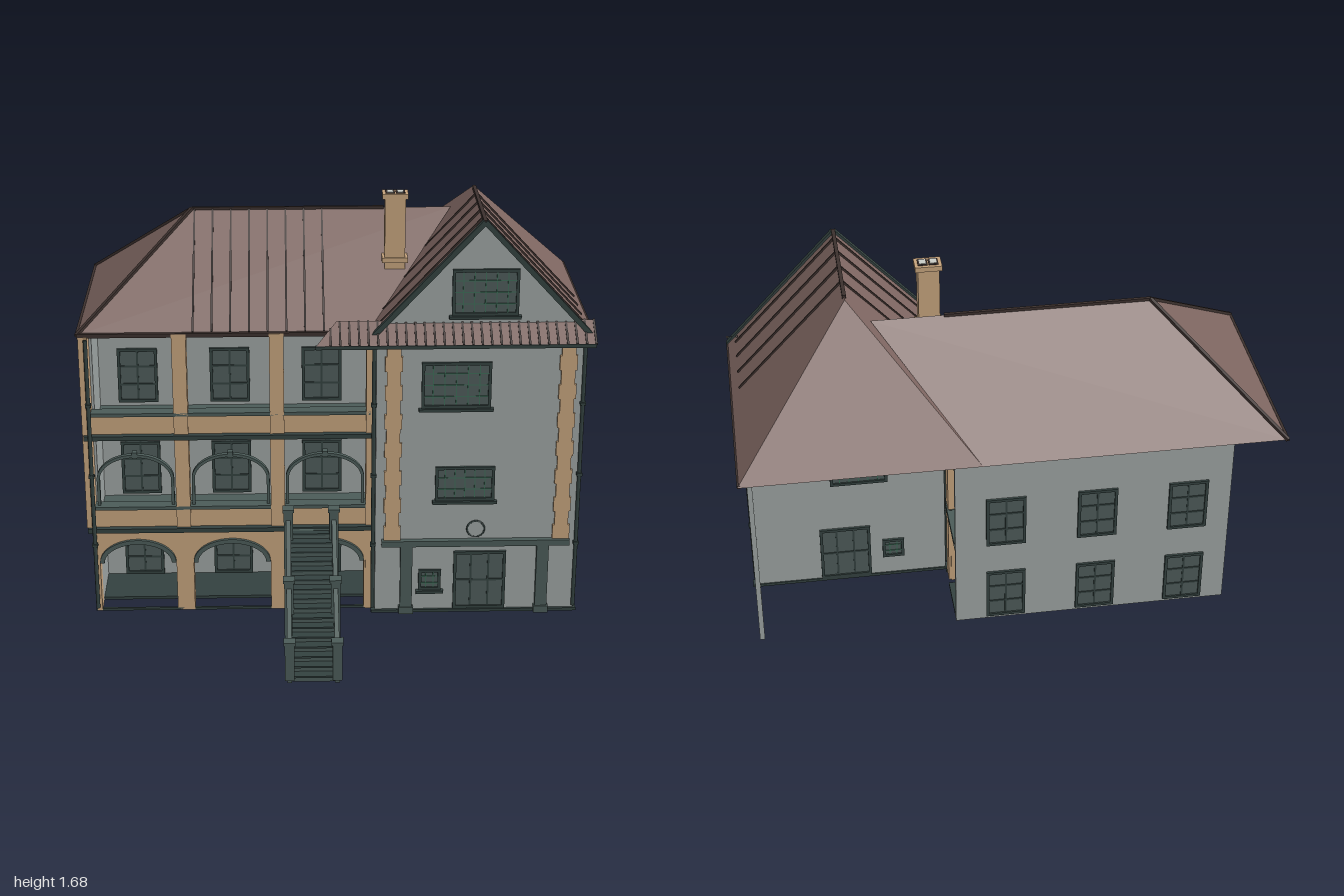
import * as THREE from 'three';

const mat = (name, color, side = THREE.FrontSide) => {
  const m = new THREE.MeshStandardMaterial({ color, side });
  m.name = name;
  return m;
};

export function createModel() {
  const root = new THREE.Group();
  const wall = mat('grey plaster', 0x9ca3a1);
  const roof = mat('brown roof', 0x7d6560, THREE.DoubleSide);
  const tan = mat('tan masonry', 0xc4a27c);
  const green = mat('grey green wood', 0x4b5b58);
  const dark = mat('dark green frame', 0x33413f);
  const seam = mat('dark brown seam', 0x3b302d);
  const glass = mat('window pane', 0x4d5b59);
  const bars = mat('green glazing bar', 0x3d6b57);
  const pale = mat('pale flue', 0xc9ccc6);

  const add = (name, geo, m, parent = root) => {
    const mesh = new THREE.Mesh(geo, m);
    mesh.name = name;
    parent.add(mesh);
    return mesh;
  };
  const group = name => {
    const g = new THREE.Group();
    g.name = name;
    root.add(g);
    return g;
  };
  // Box given by its two extreme corners
  const box = (name, x0, x1, y0, y1, z0, z1, m, parent) => {
    const mesh = add(name, new THREE.BoxGeometry(x1 - x0, y1 - y0, z1 - z0), m, parent);
    mesh.position.set((x0 + x1) / 2, (y0 + y1) / 2, (z0 + z1) / 2);
    return mesh;
  };
  // Square bar between two points
  const bar = (name, a, b, w, m, parent) => {
    const p = new THREE.Vector3(...a), q = new THREE.Vector3(...b);
    const mesh = add(name, new THREE.BoxGeometry(w, w, p.distanceTo(q)), m, parent);
    mesh.position.copy(p).add(q).multiplyScalar(0.5);
    mesh.lookAt(q);
    return mesh;
  };
  // Flat convex polygon
  const poly = (name, pts, m, parent) => {
    const v = [];
    for (let i = 1; i < pts.length - 1; i++) v.push(...pts[0], ...pts[i], ...pts[i + 1]);
    const g = new THREE.BufferGeometry();
    g.setAttribute('position', new THREE.Float32BufferAttribute(v, 3));
    g.computeVertexNormals();
    return add(name, g, m, parent);
  };
  const extrude = (name, shape, depth, z, m, parent) => {
    const mesh = add(name, new THREE.ExtrudeGeometry(shape, { depth, bevelEnabled: false, curveSegments: 16 }), m, parent);
    mesh.position.z = z;
    return mesh;
  };
  // Window set through a wall, visible from both sides
  const windowUnit = (name, x0, x1, y0, y1, z, cols, rows, barMat, sill) => {
    const g = group(name), f = 0.012;
    box('pane', x0, x1, y0, y1, z - 0.013, z + 0.013, glass, g);
    for (const x of [x0, x1 - f]) box('frameSide', x, x + f, y0, y1, z - 0.02, z + 0.02, dark, g);
    for (const y of [y0, y1 - f]) box('frameEdge', x0, x1, y, y + f, z - 0.02, z + 0.02, dark, g);
    const t = barMat === bars ? 0.002 : 0.004;
    for (let i = 1; i < cols; i++) {
      const x = x0 + (x1 - x0) * i / cols;
      box('glazingBar', x - t, x + t, y0, y1, z - 0.016, z + 0.016, barMat, g);
    }
    for (let i = 1; i < rows; i++) {
      const y = y0 + (y1 - y0) * i / rows;
      box('glazingBar', x0, x1, y - t, y + t, z - 0.016, z + 0.016, barMat, g);
    }
    if (sill) box('sill', x0 - 0.01, x1 + 0.01, y0 - 0.012, y0, z, z + 0.03, dark, g);
  };

  // Walls
  box('backWall', -0.965, 0.155, 0, 1.18, -0.2, -0.18, wall);
  box('loggiaEndWall', -0.965, -0.945, 0, 1.18, -0.18, 0.06, wall);
  box('wingFront', 0.155, 0.96, 0, 1.18, 0.14, 0.16, wall);
  box('wingSideWall', 0.94, 0.96, 0, 1.18, -0.2, 0.14, wall);
  const gable = new THREE.Shape();
  gable.moveTo(0.14, 1.18); gable.lineTo(0.97, 1.18); gable.lineTo(0.555, 1.635);
  extrude('gableWall', gable, 0.02, 0.14, wall);

  // Windows and doors
  for (const x of [-0.79, -0.42, -0.05])
    for (const y of [0.015, 0.385, 0.79])
      windowUnit('loggiaWindow', x - 0.08, x + 0.08, y, y + 0.23, -0.19, 2, 3, dark);
  windowUnit('upperWindow', 0.33, 0.6, 0.89, 1.08, 0.15, 6, 4, bars, true);
  windowUnit('middleWindow', 0.39, 0.625, 0.495, 0.64, 0.15, 6, 3, bars, true);
  windowUnit('gableWindow', 0.44, 0.695, 1.27, 1.455, 0.15, 6, 4, bars, true);
  windowUnit('smallWindow', 0.33, 0.42, 0.1, 0.19, 0.15, 3, 3, bars, true);
  windowUnit('entranceDoor', 0.47, 0.68, 0.015, 0.27, 0.15, 3, 2, dark);

  // Wing front trim
  for (const x of [0.222, 0.895])
    for (let i = 0; i < 14; i++) {
      const w = i % 2 ? 0.027 : 0.034;
      box('cornerBlock', x - w, x + w, 0.325 + i * 0.06, 0.385 + i * 0.06, 0.155, 0.172, tan);
    }
  box('storeyBand', 0.18, 0.93, 0.3, 0.325, 0.155, 0.185, green);
  for (const x of [0.28, 0.825]) {
    box('portalPost', x - 0.024, x + 0.024, 0.01, 0.3, 0.155, 0.18, green);
    box('portalPostFoot', x - 0.029, x + 0.029, 0, 0.03, 0.155, 0.185, green);
  }
  box('plinth', 0.14, 0.97, 0, 0.012, 0.135, 0.17, dark);
  const disc = add('roundPlaque', new THREE.CylinderGeometry(0.034, 0.034, 0.01, 24), wall);
  disc.rotation.x = Math.PI / 2;
  disc.position.set(0.555, 0.37, 0.163);
  add('plaqueRim', new THREE.TorusGeometry(0.034, 0.004, 6, 24), dark).position.set(0.555, 0.37, 0.166);

  // Drainpipes
  for (const [x, z] of [[-0.96, 0.145], [0.146, 0.165], [0.957, 0.168]]) {
    const pipe = add('drainpipe', new THREE.CylinderGeometry(0.008, 0.008, 1.15, 8), dark);
    pipe.position.set(x, 0.6, z);
    for (const y of [0.3, 0.6, 0.9]) box('pipeClip', x - 0.011, x + 0.011, y, y + 0.012, z - 0.011, z + 0.011, dark);
  }

  // Loggia floors, parapets and columns
  box('groundFloor', -0.965, 0.155, 0, 0.012, -0.18, 0.03, dark);
  box('groundEdge', -0.97, 0.155, 0, 0.01, 0.115, 0.125, dark);
  for (const y of [0.365, 0.765]) {
    box('loggiaFloor', -0.96, 0.155, y - 0.012, y + 0.008, -0.18, 0.12, green);
    box('floorBand', -0.985, 0.15, y - 0.009, y + 0.009, 0.06, 0.145, dark);
    box('parapet', -0.96, 0.13, y + 0.009, y + 0.085, 0.085, 0.12, tan);
    box('parapetRail', -0.96, 0.135, y + 0.085, y + 0.099, 0.075, 0.13, green);
  }
  for (const x of [-0.605, -0.23])
    for (const [y0, y1] of [[0.374, 0.757], [0.774, 1.19]])
      box('column', x - 0.028, x + 0.028, y0, y1, 0.065, 0.13, tan);
  box('cornerColumn', -0.99, -0.955, 0.374, 1.18, 0.06, 0.13, tan);
  box('innerColumn', 0.118, 0.15, 0, 1.19, 0.065, 0.13, tan);

  // Ground arcade and arch trims
  const arches = [[-0.945, -0.64], [-0.57, -0.262], [-0.198, 0.112]];
  const arcade = new THREE.Shape();
  arcade.moveTo(-0.965, 0.357);
  arcade.lineTo(-0.965, 0);
  for (const [a, b] of arches) {
    arcade.lineTo(a, 0);
    arcade.lineTo(a, 0.22);
    arcade.absellipse((a + b) / 2, 0.22, (b - a) / 2, 0.095, Math.PI, 0, true);
    arcade.lineTo(b, 0);
  }
  arcade.lineTo(0.14, 0);
  arcade.lineTo(0.14, 0.357);
  extrude('groundArcade', arcade, 0.065, 0.06, tan);
  const archTrim = (name, a, b, y, h, t, z, d) => {
    const c = (a + b) / 2, r = (b - a) / 2, s = new THREE.Shape();
    s.absellipse(c, y, r, h, Math.PI, 0, true);
    s.lineTo(b - t, y);
    s.absellipse(c, y, r - t, h - t, 0, Math.PI, false);
    extrude(name, s, d, z, green);
  };
  for (const [a, b] of arches) {
    archTrim('groundArchTrim', a, b, 0.22, 0.1, 0.018, 0.06, 0.078);
    archTrim('upperArch', a, b, 0.575, 0.105, 0.012, 0.09, 0.02);
    for (const x of [a, b - 0.012]) box('archPost', x, x + 0.012, 0.374, 0.575, 0.09, 0.11, green);
    const c = (a + b) / 2;
    box('archKeystone', c - 0.01, c + 0.01, 0.665, 0.69, 0.088, 0.114, green);
  }

  // Outer staircase
  const stair = group('staircase'), n = 16;
  for (let i = 0; i < n; i++) {
    const z = 0.71 - i * 0.035;
    box('step', -0.18, -0.01, 0, 0.365 * (i + 1) / n, z - 0.035, z, green, stair);
    box('stepNosing', -0.18, -0.01, 0.365 * (i + 1) / n - 0.005, 0.365 * (i + 1) / n + 0.002, z - 0.035, z + 0.005, dark, stair);
  }
  box('landing', -0.18, -0.01, 0.35, 0.368, 0.1, 0.16, green, stair);
  const side = new THREE.Shape();
  side.moveTo(0.72, 0); side.lineTo(0.72, 0.13); side.lineTo(0.16, 0.455); side.lineTo(0.16, 0);
  for (const z of [0.64, 0.545, 0.375, 0.275]) {
    const y = 0.13 + (0.72 - z) * 0.58 - 0.045, hole = new THREE.Path();
    hole.moveTo(z + 0.014, y - 0.018); hole.lineTo(z - 0.014, y - 0.002);
    hole.lineTo(z - 0.014, y + 0.022); hole.lineTo(z + 0.014, y + 0.006);
    side.holes.push(hole);
  }
  for (const x of [-0.19, -0.01]) {
    const s = extrude('stairSide', side, 0.018, 0, green, stair);
    s.rotation.y = -Math.PI / 2;
    s.position.x = x + 0.009;
    for (const [z, y0, y1] of [[0.72, 0.02, 0.17], [0.457, 0.02, 0.295], [0.182, 0.02, 0.465]]) {
      box('newelPost', x - 0.018, x + 0.018, y0, y1, z - 0.018, z + 0.018, green, stair);
      box('newelCap', x - 0.023, x + 0.023, y1, y1 + 0.012, z - 0.022, z + 0.022, green, stair);
    }
  }

  // Hipped main roof
  const r = group('roof'), E = 1.185, H = 1.56, P = 1.65;
  const A = [-0.995, E, 0.12], B = [-0.995, E, -0.74], C = [-0.56, H, -0.31], D = [0.467, H, -0.31];
  poly('mainFrontSlope', [A, [0.12, E, 0.12], D, C], roof, r);
  poly('mainBackSlope', [B, C, D, [0.12, E, -0.74]], roof, r);
  poly('mainHip', [B, A, C], roof, r);
  // Cross wing roof
  const K = [0.555, P, 0.2], L = [0.555, P, -0.3];
  poly('wingLeftSlope', [[0.12, E, 0.2], K, L, [0.12, E, -0.74]], roof, r);
  poly('wingRightSlope', [[0.99, E, 0.2], [0.99, E, -0.74], L, K], roof, r);
  poly('wingBackHip', [[0.99, E, -0.74], [0.12, E, -0.74], L], roof, r);
  // Ridge caps, eaves and rakes
  bar('hipCap', A, C, 0.014, seam, r);
  bar('hipCap', B, C, 0.014, seam, r);
  bar('mainRidge', C, [0.2, H, -0.31], 0.012, seam, r);
  bar('wingRidge', K, [0.555, P, -0.28], 0.014, seam, r);
  bar('mainEave', A, [0.12, E, 0.12], 0.016, seam, r);
  bar('endEave', A, B, 0.01, seam, r);
  bar('wingEave', [0.985, E, 0.2], [0.985, E, -0.735], 0.012, seam, r);
  for (const x of [0.125, 0.985]) bar('gableRake', [x, E, 0.195], [0.555, P, 0.195], 0.02, dark, r);
  // Standing seams
  for (let i = 0; i < 8; i++) {
    const x = -0.55 + i * 0.072;
    bar('roofSeam', [x, E + 0.01, 0.115], [x, H, -0.31], 0.007, seam, r);
  }
  for (const z of [0.14, 0.04, -0.068, -0.175]) {
    bar('roofSeam', [0.955, 1.226, z], [0.56, P, z], 0.007, seam, r);
    const x = 0.12 + Math.max(0.03, (0.12 - z) * 0.81);
    bar('roofSeam', [x, E + (x - 0.12) * 1.069, z], [0.55, P, z], 0.007, seam, r);
  }
  // Tiled pent roof over the wing front
  poly('pentRoof', [[-0.08, 1.18, 0.25], [0.985, 1.18, 0.25], [0.985, 1.245, 0.15], [0, 1.245, 0.15]], roof, r);
  poly('pentRoofEnd', [[-0.08, 1.18, 0.25], [0, 1.245, 0.15], [0, 1.18, 0.12]], roof, r);
  for (let i = 0; i < 29; i++) {
    const x = 0.985 - i * 0.036, t = Math.min(1, (x + 0.08) / 0.08);
    bar('pentRib', [x, 1.181, 0.25], [x, 1.18 + 0.065 * t, 0.25 - 0.1 * t], 0.008, seam, r);
  }
  bar('pentGutter', [-0.08, 1.174, 0.245], [0.985, 1.174, 0.245], 0.014, dark, r);

  // Chimney
  const ch = group('chimney');
  box('chimneyStack', 0.195, 0.275, 1.36, 1.66, -0.155, -0.095, tan, ch);
  box('chimneyFoot', 0.185, 0.285, 1.4, 1.42, -0.165, -0.085, tan, ch);
  box('chimneyCap', 0.185, 0.285, 1.655, 1.675, -0.16, -0.09, tan, ch);
  for (const x of [0.215, 0.255]) {
    box('flueRim', x - 0.018, x + 0.018, 1.67, 1.678, -0.147, -0.103, seam, ch);
    box('flue', x - 0.012, x + 0.012, 1.675, 1.68, -0.14, -0.11, pale, ch);
  }
  return root;
}
